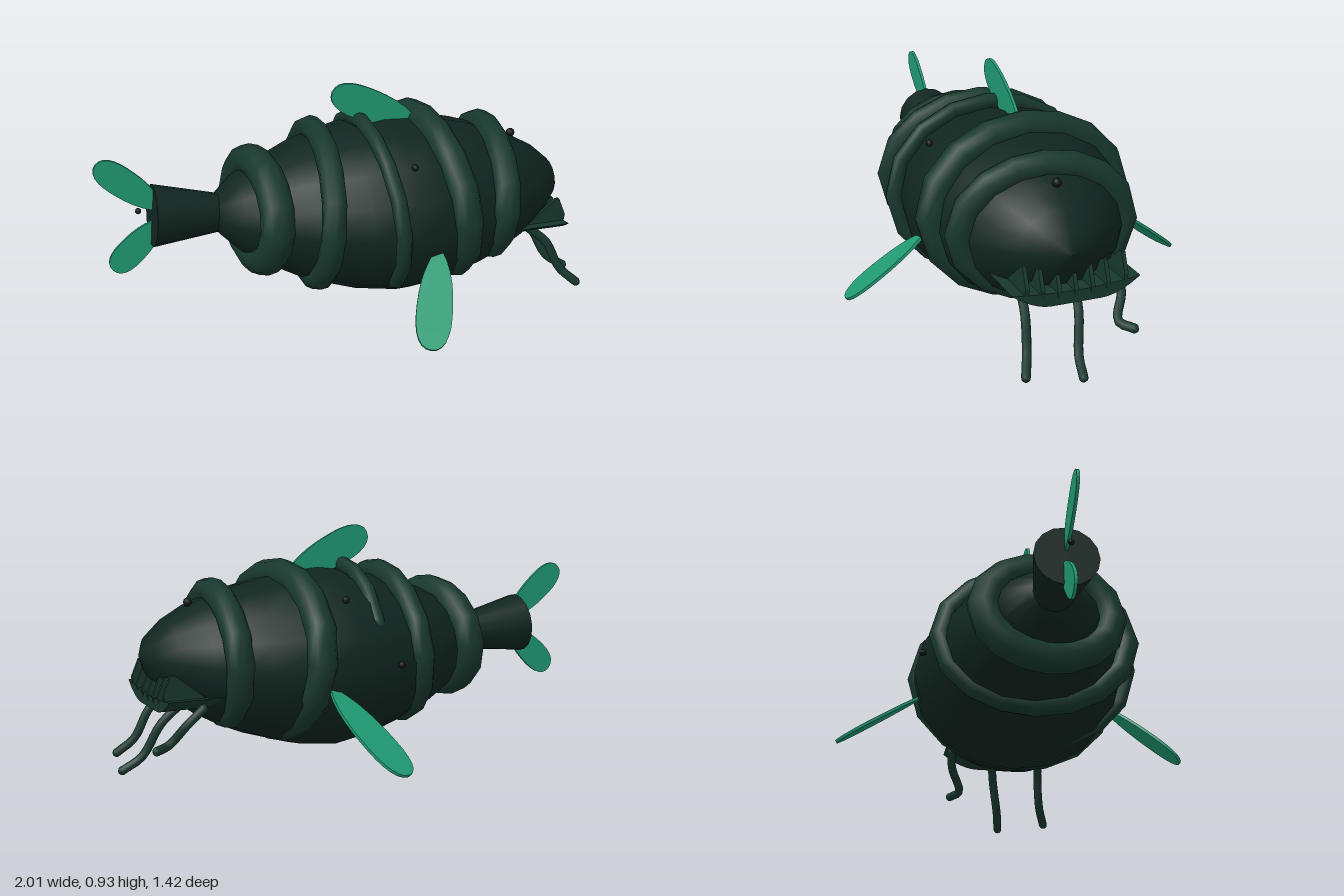
import * as THREE from 'three';

const V = (x, y, z) => new THREE.Vector3(x, y, z);
const skin = new THREE.MeshStandardMaterial({ color: 0x10251f });
const bandSkin = new THREE.MeshStandardMaterial({ color: 0x18382d });
const finSkin = new THREE.MeshStandardMaterial({ color: 0x209a72 });
const dark = new THREE.MeshStandardMaterial({ color: 0x101512 });

export function createModel() {
  const model = new THREE.Group();
  model.name = 'fish';
  const add = (name, geometry, material, parent = model) => {
    const mesh = new THREE.Mesh(geometry, material);
    mesh.name = name;
    parent.add(mesh);
    return mesh;
  };

  // Body: a spindle along x (x, half height), wider than high, whose ends lift a little
  const profile = [[-0.585, 0], [-0.53, 0.078], [-0.45, 0.15], [-0.3, 0.228], [-0.2, 0.275], [0, 0.331],
    [0.17, 0.357], [0.32, 0.345], [0.5, 0.298], [0.6, 0.262], [0.7, 0.216], [0.8, 0.15], [0.87, 0.08], [0.905, 0]];
  const body = new THREE.LatheGeometry(profile.map(([x, r]) => new THREE.Vector2(r, x)), 16);
  body.rotateZ(-Math.PI / 2).scale(1, 1, 1.21);
  const pos = body.attributes.position;
  for (let i = 0; i < pos.count; i++) {
    const t = (pos.getX(i) - 0.165) / 0.74;
    pos.setY(i, pos.getY(i) + 0.414 + 0.046 * t * t);
    pos.setZ(i, pos.getZ(i) + 0.03 + (t > 0 ? 0.06 : 0.015) * t * t);
  }
  add('body', body, skin);

  // Tail stalk: flares towards the rear
  const stalk = add('tailStalk', new THREE.CylinderGeometry(0.066, 0.123, 0.32, 16), skin);
  stalk.rotation.z = -Math.PI / 2 - 0.08;
  stalk.position.set(-0.627, 0.467, 0.045);

  // Bands: tilted elliptical hoops, given by outer limits
  // [tube radius, top x, top y, bottom x, bottom y, back x, back z, front x, front z]
  const bands = [
    [0.066, -0.36, 0.71, -0.39, 0.2, -0.395, -0.265, -0.35, 0.37],
    [0.048, -0.115, 0.79, -0.17, 0.115, -0.11, -0.375, -0.16, 0.465],
    [0.031, 0.067, 0.815, 0.125, 0.09, 0.075, -0.36, 0.09, 0.515],
    [0.062, 0.335, 0.815, 0.39, 0.09, 0.325, -0.415, 0.375, 0.49],
    [0.054, 0.6, 0.75, 0.57, 0.155, 0.62, -0.305, 0.565, 0.44],
  ];
  const hoops = new THREE.Group();
  hoops.name = 'bands';
  model.add(hoops);
  for (const [r, xt, yt, xb, yb, xk, zk, xf, zf] of bands) {
    const centre = V((xt + xb + xk + xf) / 4, (yt + yb) / 2, (zk + zf) / 2);
    const up = V((xt - xb) / 2, (yt - yb) / 2 - r, 0);
    const side = V((xf - xk) / 2, 0, (zf - zk) / 2 - r);
    const pts = [];
    for (let i = 0; i < 16; i++) {
      const a = i / 16 * Math.PI * 2;
      pts.push(centre.clone().addScaledVector(up, Math.cos(a)).addScaledVector(side, Math.sin(a)));
    }
    const path = new THREE.CatmullRomCurve3(pts, true);
    add('band', new THREE.TubeGeometry(path, 16, r, 10, true), bandSkin, hoops);
  }

  // Fins: thin leaves from base to tip, lying in the plane that holds "across"
  const fin = (name, base, tip, width, across) => {
    const dir = tip.clone().sub(base);
    const len = dir.length(), w = width / 2;
    dir.normalize();
    const normal = dir.clone().cross(across).normalize();
    const wide = normal.clone().cross(dir);
    const leaf = new THREE.Shape();
    leaf.moveTo(0, -0.15 * w);
    leaf.bezierCurveTo(len * 0.2, -w * 0.9, len * 0.45, -w, len * 0.66, -w);
    leaf.bezierCurveTo(len * 0.86, -w, len, -w * 0.7, len, 0);
    leaf.bezierCurveTo(len, w * 0.7, len * 0.86, w, len * 0.66, w);
    leaf.bezierCurveTo(len * 0.45, w, len * 0.2, w * 0.9, 0, 0.15 * w);
    const g = new THREE.ExtrudeGeometry(leaf, { depth: 0.012, bevelEnabled: false, curveSegments: 6 });
    g.translate(0, 0, -0.006);
    g.applyMatrix4(new THREE.Matrix4().makeBasis(dir, wide, normal).setPosition(base));
    add(name, g, finSkin);
  };
  fin('dorsalFin', V(0.31, 0.735, 0.038), V(-0.05, 0.905, 0.038), 0.135, V(0, 1, 0));
  fin('upperTailFin', V(-0.745, 0.505, 0.045), V(-0.992, 0.715, 0.045), 0.115, V(0, 1, 0));
  fin('lowerTailFin', V(-0.745, 0.455, 0.038), V(-0.95, 0.265, 0.038), 0.115, V(0, 1, 0));
  fin('leftSideFin', V(0.265, 0.345, 0.42), V(0.13, 0.075, 0.7), 0.14, V(1, 0.1, 0.08));
  fin('rightSideFin', V(0.295, 0.355, -0.36), V(0.15, 0.085, -0.7), 0.15, V(1, 0.16, -0.12));

  // Jaw: a crescent carried along x, drawn in (z, y)
  const jaw = new THREE.Shape();
  jaw.moveTo(-0.25, 0.328);
  jaw.quadraticCurveTo(0, 0.295, 0.25, 0.328);
  jaw.quadraticCurveTo(0.17, 0.268, 0.1, 0.265);
  jaw.lineTo(-0.1, 0.265);
  jaw.quadraticCurveTo(-0.17, 0.268, -0.25, 0.328);
  const jawGeo = new THREE.ExtrudeGeometry(jaw, { depth: 0.22, bevelEnabled: false, curveSegments: 8 });
  jawGeo.rotateY(Math.PI / 2).translate(0.66, 0, 0.057);
  add('lowerJaw', jawGeo, bandSkin);

  // Teeth: a row of thin upright wedges
  const tooth = new THREE.Shape([[0.71, 0.31], [0.88, 0.31], [0.885, 0.34], [0.855, 0.412], [0.84, 0.412]]
    .map(([x, y]) => new THREE.Vector2(x, y)));
  const toothGeo = new THREE.ExtrudeGeometry(tooth, { depth: 0.015, bevelEnabled: false });
  [0.25, 0.19, 0.125, 0.06, -0.005, -0.065, -0.135].forEach((z) => {
    const d = (z - 0.055) / 0.2;
    add('tooth', toothGeo, bandSkin).position.set(0, -0.025 + 0.035 * d * d, z - 0.007);
  });

  // Barbels: bent whiskers under the jaw
  const barbels = [
    [[0.74, 0.29, 0.22], [0.82, 0.22, 0.232], [0.88, 0.1, 0.25], [0.945, 0.04, 0.28]],
    [[0.75, 0.285, 0.01], [0.84, 0.2, 0.03], [0.91, 0.07, 0.06], [0.985, 0.02, 0.075]],
    [[0.74, 0.29, -0.175], [0.8, 0.23, -0.16], [0.86, 0.15, -0.12], [0.92, 0.14, -0.155]],
  ];
  for (const pts of barbels) {
    const path = new THREE.CatmullRomCurve3(pts.map((p) => V(...p)));
    add('barbel', new THREE.TubeGeometry(path, 12, 0.018, 8), bandSkin);
    for (const end of [0, 1]) {
      add('barbelEnd', new THREE.SphereGeometry(0.018, 8, 6), bandSkin).position.copy(path.getPoint(end));
    }
  }

  // Eye and small spots on the skin
  const dots = [
    ['eye', 0.71, 0.66, 0.065, 0.018], ['spot', 0.18, 0.68, 0.36, 0.014],
    ['spot', 0.2, 0.68, -0.285, 0.014], ['spot', 0.01, 0.43, -0.385, 0.014],
    ['tailSpot', -0.84, 0.508, 0.05, 0.012],
  ];
  for (const [name, x, y, z, r] of dots) {
    add(name, new THREE.SphereGeometry(r, 10, 8), dark).position.set(x, y, z);
  }
  return model;
}
